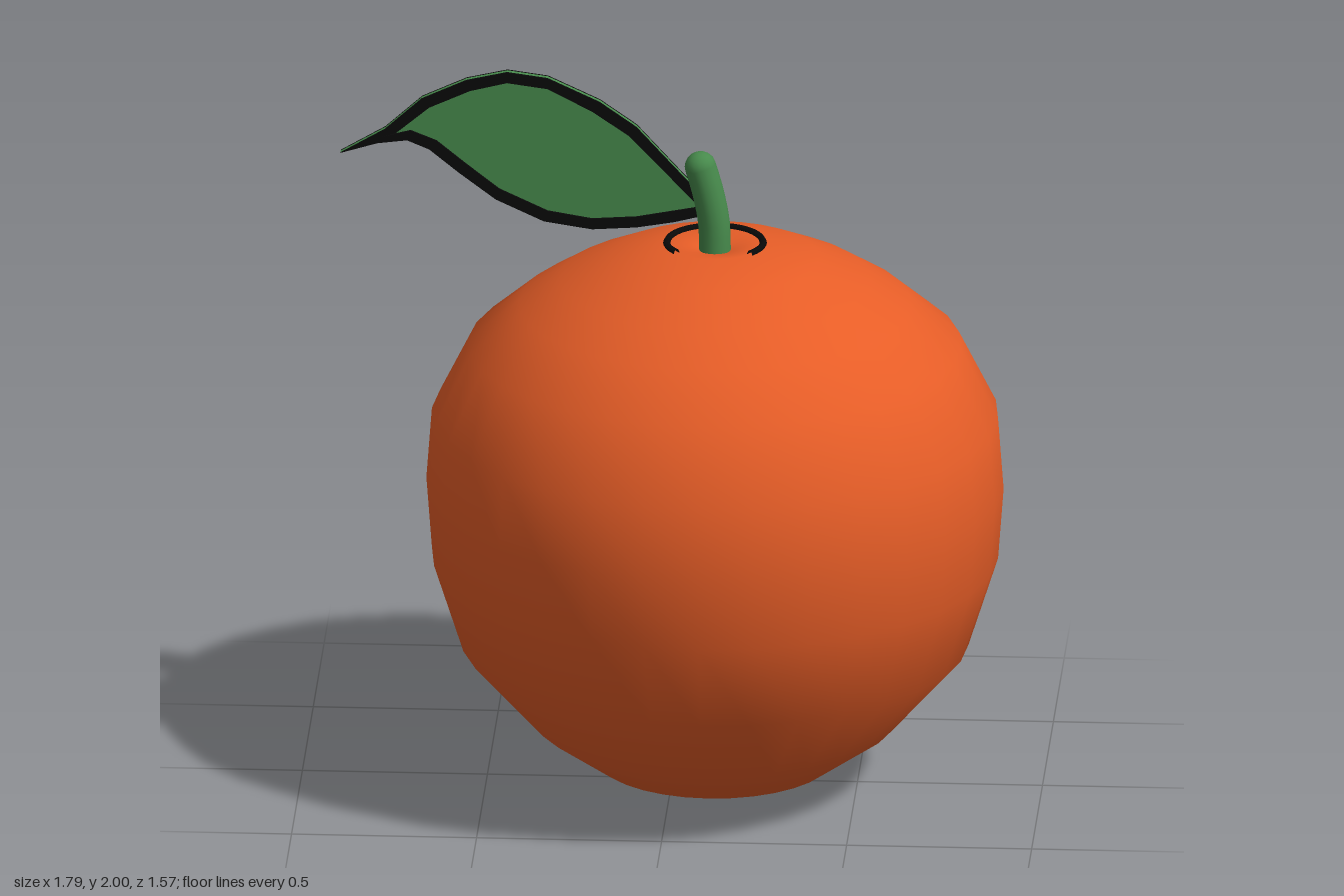
import * as THREE from 'three';

const CX = 0.115; // fruit axis
// Fruit profile, bottom to top: [radius, height]
const PROFILE = [[0, 0.01], [0.13, 0], [0.32, 0.06], [0.49, 0.18], [0.685, 0.4], [0.765, 0.65], [0.78, 0.85],
  [0.765, 1.05], [0.665, 1.25], [0.53, 1.365], [0.42, 1.435], [0.28, 1.5], [0.13, 1.54], [0.05, 1.525], [0, 1.5]];

// Radius of the fruit at a height
function radiusAt(y) {
  for (let i = 1; i < PROFILE.length; i++) {
    const [r0, y0] = PROFILE[i - 1], [r1, y1] = PROFILE[i];
    if (y1 > y0 && y >= y0 && y <= y1) return r0 + (r1 - r0) * (y - y0) / (y1 - y0);
  }
  return 0;
}

// Point on the face side of the fruit, lifted off the skin
function onSkin(azimuth, y, lift) {
  const r = radiusAt(y) + lift;
  return new THREE.Vector3(CX + r * Math.sin(azimuth), y, -r * Math.cos(azimuth));
}

// Oval patch wrapped on the skin; rings are [scale, lift] from inside to outside
function ovalPatch(side, az, cy, ra, ry, rings) {
  const n = 40, pos = [], index = [];
  for (const [s, lift] of rings) {
    for (let j = 0; j < n; j++) {
      const t = j / n * Math.PI * 2, dy = s * ry * Math.sin(t);
      pos.push(...onSkin(side * (az + 0.3 * dy) + s * ra * Math.cos(t), cy + dy, lift).toArray());
    }
  }
  for (let i = 0; i < rings.length - 1; i++) {
    for (let j = 0; j < n; j++) {
      const k = (j + 1) % n, a = i * n, b = a + n;
      index.push(a + j, b + k, b + j, a + j, a + k, b + k);
    }
  }
  const g = new THREE.BufferGeometry();
  g.setAttribute('position', new THREE.Float32BufferAttribute(pos, 3));
  g.setIndex(index);
  g.computeVertexNormals();
  return g;
}

const disc = (lift) => [0.001, 0.2, 0.4, 0.6, 0.8, 1].map((s) => [s, lift]);
const toPoints = (list) => list.map(([x, y]) => new THREE.Vector2(x, y));

export function createModel() {
  const model = new THREE.Group();
  const material = (name, color) => {
    const m = new THREE.MeshStandardMaterial({ color, side: THREE.DoubleSide });
    m.name = name;
    return m;
  };
  const orange = material('orange skin', 0xe65d27);
  const green = material('leaf green', 0x478a4c);
  const black = material('black', 0x0a0a0a);
  const white = material('eye white', 0xf8f8f8);
  const add = (name, geometry, mat, parent = model) => {
    const mesh = new THREE.Mesh(geometry, mat);
    mesh.name = name;
    parent.add(mesh);
    return mesh;
  };

  // Fruit
  add('fruit', new THREE.LatheGeometry(toPoints(PROFILE), 32), orange).position.x = CX;

  // Stem with rounded end
  const stemPath = new THREE.CatmullRomCurve3([[0.115, 1.5], [0.112, 1.6], [0.095, 1.69], [0.076, 1.757]]
    .map(([x, y]) => new THREE.Vector3(x, y, 0)));
  add('stem', new THREE.TubeGeometry(stemPath, 8, 0.043, 16), green);
  add('stemTip', new THREE.SphereGeometry(0.043, 16, 10), green).position.set(0.076, 1.757, 0);

  // Open ring around the stem, gap to the front
  const gap = 0.71;
  const ring = add('stemRing', new THREE.TorusGeometry(0.13, 0.01, 6, 36, Math.PI + 2 * gap), black);
  ring.rotation.set(Math.PI / 2, 0, 0);
  ring.geometry.rotateZ(Math.PI - gap);
  ring.position.set(CX, 1.54, 0);

  // Leaf: green blade with a black rim on both faces
  const outer = toPoints([[0.12, 1.61], [0, 1.74], [-0.1, 1.85], [-0.2, 1.92], [-0.34, 1.985], [-0.45, 2],
    [-0.56, 1.975], [-0.68, 1.92], [-0.78, 1.83], [-0.9, 1.76], [-0.8, 1.79], [-0.72, 1.8], [-0.66, 1.775],
    [-0.58, 1.71], [-0.48, 1.635], [-0.35, 1.575], [-0.22, 1.555], [-0.1, 1.563], [0, 1.58]]);
  const inner = toPoints([[0.07, 1.625], [-0.02, 1.72], [-0.12, 1.825], [-0.22, 1.893], [-0.34, 1.955], [-0.45, 1.97],
    [-0.55, 1.945], [-0.66, 1.895], [-0.75, 1.82], [-0.79, 1.808], [-0.71, 1.828], [-0.64, 1.8], [-0.56, 1.735],
    [-0.47, 1.665], [-0.34, 1.605], [-0.22, 1.585], [-0.1, 1.593]]);
  const leaf = new THREE.Group();
  leaf.name = 'leaf';
  model.add(leaf);
  const extrude = (shape, depth) => new THREE.ExtrudeGeometry(shape, { depth, bevelEnabled: false });
  add('leafBlade', extrude(new THREE.Shape(outer), 0.014), green, leaf).position.z = -0.064;
  const rimShape = new THREE.Shape(outer);
  rimShape.holes.push(new THREE.Path(inner));
  for (const z of [-0.07, -0.05]) add('leafRim', extrude(rimShape, 0.006), black, leaf).position.z = z;

  // Eyes on the face side
  for (const side of [-1, 1]) {
    const eye = new THREE.Group();
    eye.name = side > 0 ? 'leftEye' : 'rightEye';
    model.add(eye);
    add('eyeWhite', ovalPatch(side, 0.42, 0.955, 0.31, 0.215, disc(0.012)), white, eye);
    add('eyeRim', ovalPatch(side, 0.42, 0.955, 0.335, 0.235,
      [[0.86, 0.01], [0.87, 0.017], [0.93, 0.018], [0.98, 0.016], [1, -0.005]]), black, eye);
    add('pupil', ovalPatch(side, 0.4, 0.945, 0.16, 0.115, disc(0.016)), black, eye);
  }

  // Mouth lines following the skin
  const skinLine = (name, list) => {
    const points = list.map(([x, y]) => onSkin(Math.asin(x / radiusAt(y)), y, 0.002));
    add(name, new THREE.TubeGeometry(new THREE.CatmullRomCurve3(points), 24, 0.011, 6), black);
    for (const p of [points[0], points[points.length - 1]]) {
      add(name + 'End', new THREE.SphereGeometry(0.011, 8, 6), black).position.copy(p);
    }
  };
  skinLine('smile', [[0.22, 0.495], [0.12, 0.452], [0.01, 0.452], [-0.09, 0.505], [-0.16, 0.585]]);
  skinLine('cheekLine', [[-0.13, 0.665], [-0.152, 0.6], [-0.19, 0.552], [-0.25, 0.525]]);

  return model;
}
